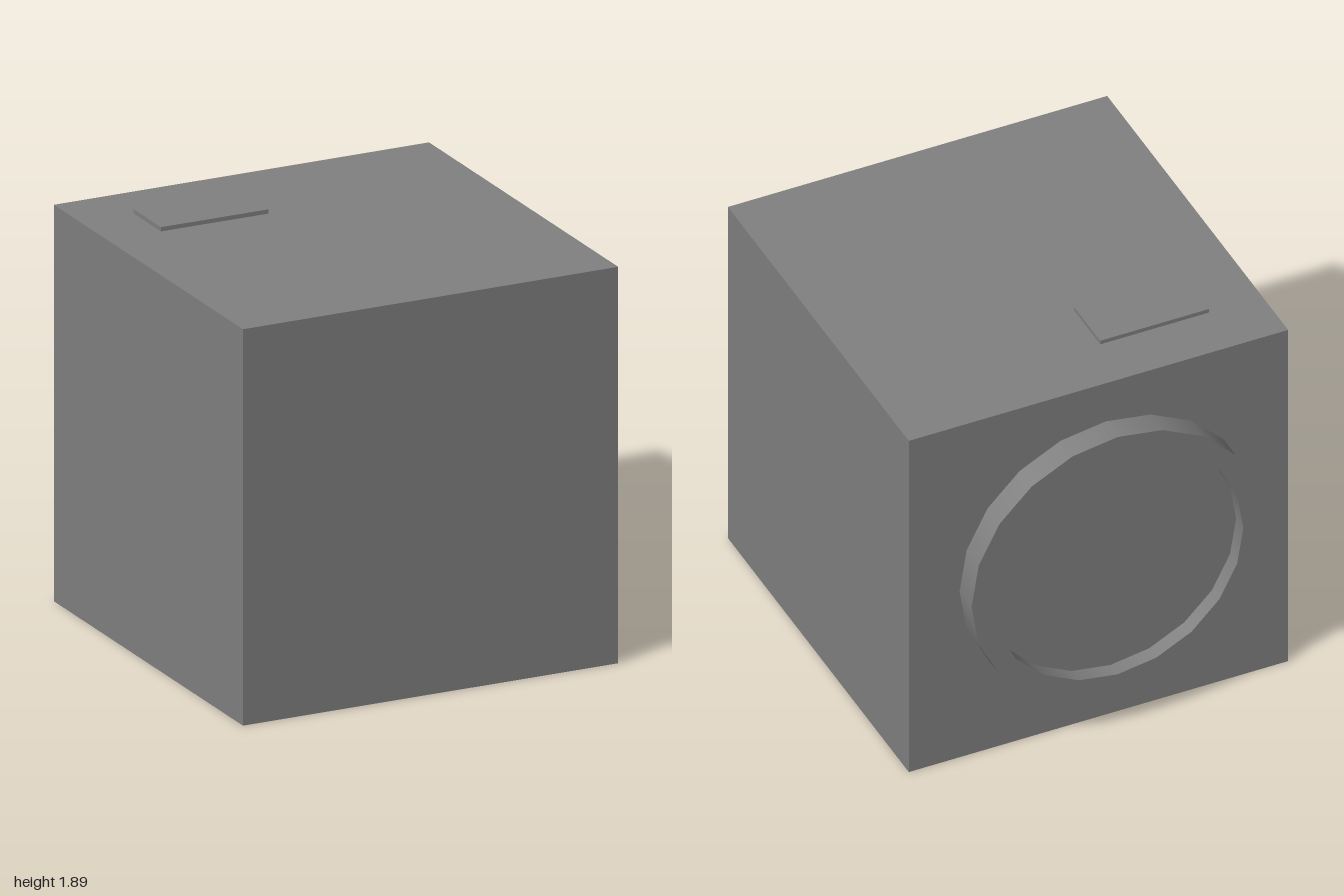
import * as THREE from 'three';

export function createModel() {
  const model = new THREE.Group();
  const grey = new THREE.MeshStandardMaterial({ color: 0x808080 });
  grey.name = 'grey';

  function add(parent, name, geometry, x, y, z) {
    const mesh = new THREE.Mesh(geometry, grey);
    mesh.name = name;
    mesh.position.set(x, y, z);
    parent.add(mesh);
  }

  // Main cube and the thin plate on its top
  add(model, 'body', new THREE.BoxGeometry(1.87, 1.87, 1.875), 0, 0.935, 0.0625);
  add(model, 'topPlate', new THREE.BoxGeometry(0.535, 0.02, 0.27), -0.4025, 1.88, -0.475);

  // Round rim on the back with a recessed disc; each section keeps sharp borders
  const rim = new THREE.Group();
  rim.name = 'backRim';
  rim.position.set(-0.035, 0.935, -0.875);
  rim.rotation.x = -Math.PI / 2;
  model.add(rim);

  const outer = 0.72, inner = 0.62, height = 0.125, floor = 0.05;
  const sections = {
    rimOuterWall: [[outer, 0], [outer, height]],
    rimFace: [[outer, height], [inner, height]],
    rimInnerWall: [[inner, height], [inner, floor]],
    recessedDisc: [[inner, floor], [0, floor]],
  };
  for (const [name, points] of Object.entries(sections)) {
    const profile = points.map(([r, h]) => new THREE.Vector2(r, h));
    add(rim, name, new THREE.LatheGeometry(profile, 20), 0, 0, 0);
  }

  return model;
}
